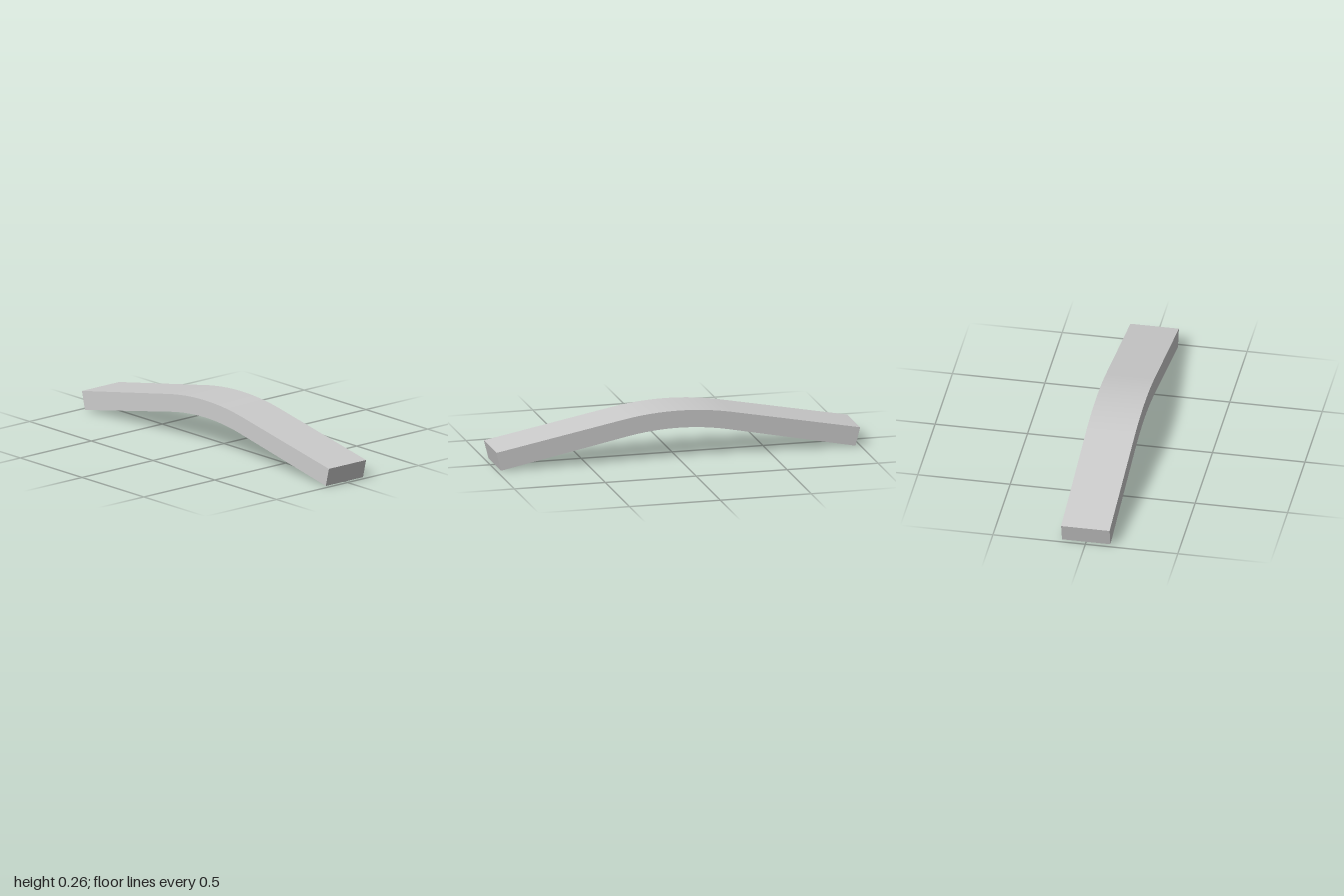
import * as THREE from 'three';
import { toCreasedNormals } from 'three/addons/utils/BufferGeometryUtils.js';

export function createModel() {
  const group = new THREE.Group();
  const depth = 0.262;

  // Side profile: two straight sloping arms joined by a smooth bend
  const profile = new THREE.Shape();
  profile.moveTo(-0.975, 0);
  profile.lineTo(-0.28, 0.14);
  profile.quadraticCurveTo(0, 0.196, 0.28, 0.14);
  profile.lineTo(0.975, 0);
  profile.lineTo(1, 0.1);
  profile.lineTo(0.3, 0.234);
  profile.quadraticCurveTo(0, 0.291, -0.3, 0.234);
  profile.lineTo(-1, 0.1);
  profile.closePath();

  const geometry = new THREE.ExtrudeGeometry(profile, { depth, bevelEnabled: false, curveSegments: 24 });
  geometry.translate(0, 0, -depth / 2);

  // Smooth along the bend, sharp at the edges
  const bar = new THREE.Mesh(
    toCreasedNormals(geometry, Math.PI / 6),
    new THREE.MeshStandardMaterial({ color: 0xcccccc })
  );
  bar.name = 'bentBar';
  group.add(bar);
  return group;
}
